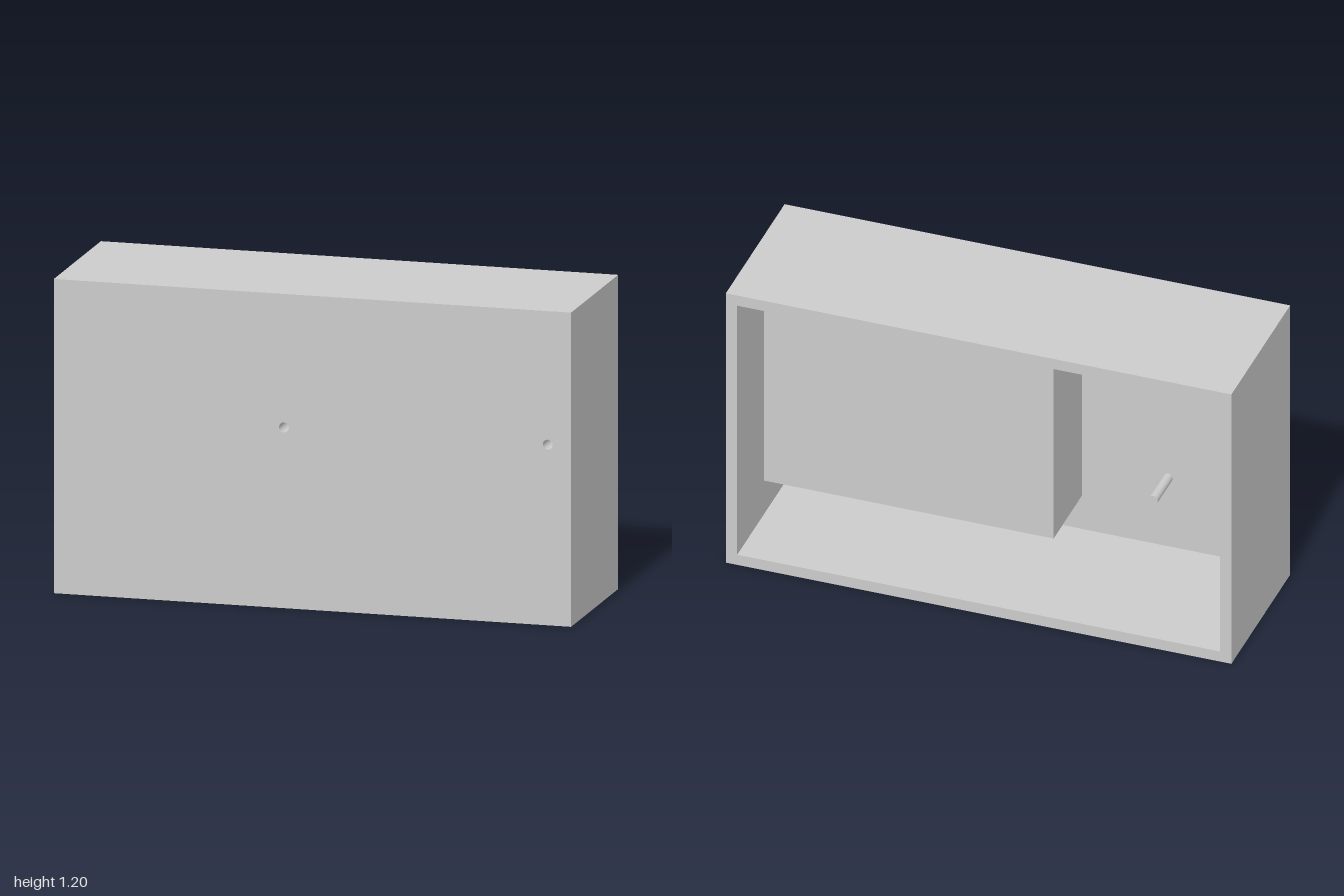
import * as THREE from 'three';

const W = 1, H = 1.2, D = 0.32;   // half width, height, half depth
const T = 0.045;                  // wall thickness
const ZI = 0.282;                 // inner face of the front panel
const R = 0.019;                  // radius of holes and posts
const HOLES = [[-0.11, 0.69], [0.91, 0.69]];

export function createModel() {
  const model = new THREE.Group();
  const material = new THREE.MeshStandardMaterial({ color: 0xcccccc });

  function add(name, geometry) {
    const mesh = new THREE.Mesh(geometry, material);
    mesh.name = name;
    model.add(mesh);
    return mesh;
  }

  function rectangle(Type, x0, x1, y0, y1) {
    const path = new Type();
    path.moveTo(x0, y0).lineTo(x1, y0).lineTo(x1, y1).lineTo(x0, y1);
    path.closePath();
    return path;
  }

  // Upright slab between z0 and z1, cut by the given openings
  function slab(name, [x0, x1, y0, y1], z0, z1, openings) {
    const shape = rectangle(THREE.Shape, x0, x1, y0, y1);
    shape.holes.push(...openings);
    const geometry = new THREE.ExtrudeGeometry(shape, {
      depth: z1 - z0, bevelEnabled: false, curveSegments: 24,
    });
    add(name, geometry.translate(0, 0, z0));
  }

  const roundHoles = () => HOLES.map(([x, y]) =>
    new THREE.Path().absarc(x, y, R, 0, Math.PI * 2, true));

  // Outer case: four walls open at the back, closed by a drilled front panel
  slab('caseWalls', [-W, W, 0, H], -D, ZI,
    [rectangle(THREE.Path, -W + T, W - T, T, H - T)]);
  slab('frontPanel', [-W, W, 0, H], ZI, D, roundHoles());

  // Raised block inside, hanging from the top wall, with blind holes
  const block = [-0.19, W - T, 0.193, H - T];
  const zBack = -0.026, zHole = 0.13;
  slab('innerBlockFront', block, zHole, ZI, roundHoles());
  slab('innerBlockBack', block, zBack, zHole, []);

  // Four mounting posts on the inside of the front panel
  const zTip = 0.12;
  for (const x of [-0.53, -0.91]) {
    for (const y of [0.35, 1.1]) {
      const post = add('mountingPost', new THREE.CylinderGeometry(R, R, ZI - zTip, 24));
      post.rotation.x = Math.PI / 2;
      post.position.set(x, y, (ZI + zTip) / 2);
    }
  }

  return model;
}
